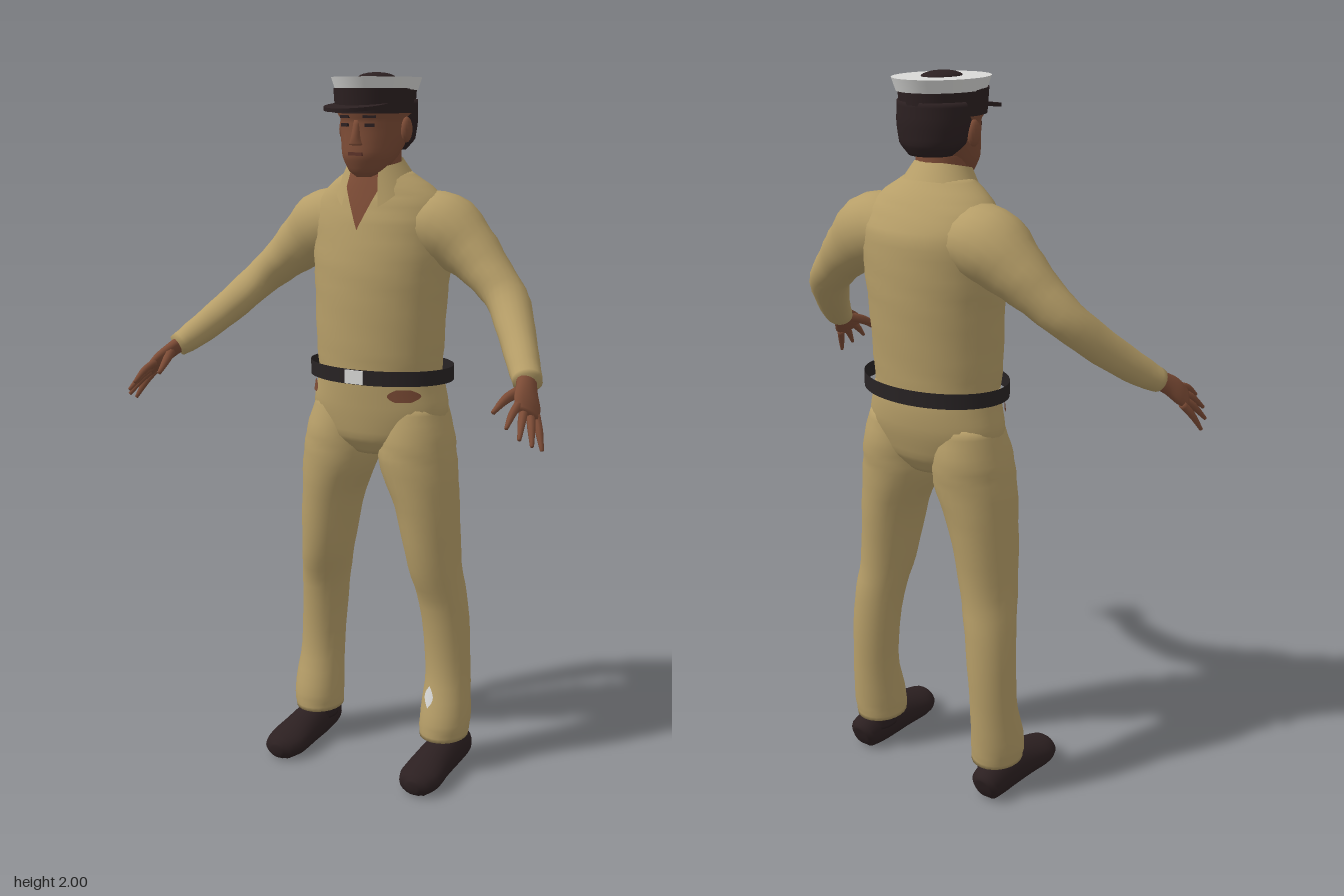
import * as THREE from 'three';

const V3 = (x, y, z) => new THREE.Vector3(x, y, z);

function gridGeometry(points, rows, cols) {
  const pos = points.flatMap(p => [p.x, p.y, p.z]), idx = [];
  for (let i = 0; i < rows - 1; i++) for (let j = 0; j < cols - 1; j++) {
    const a = i * cols + j, d = a + cols;
    idx.push(a, a + 1, d + 1, a, d + 1, d);
  }
  const g = new THREE.BufferGeometry();
  g.setAttribute('position', new THREE.Float32BufferAttribute(pos, 3));
  g.setIndex(idx);
  g.computeVertexNormals();
  return g;
}

// Smooth capped tube through rows of [x, y, z, radiusA, radiusB].
// Without ref the rings stay level (A along x, B along z); with ref, A follows ref.
function loft(rows, { s = 1, seg = 20, sub = 4, ref = null, fold = 0 } = {}) {
  const centre = new THREE.CatmullRomCurve3(rows.map(r => V3(s * r[0], r[1], r[2])));
  const radius = new THREE.CatmullRomCurve3(rows.map(r => V3(r[3], r[4], 0)));
  const n = (rows.length - 1) * sub, pos = [], idx = [];
  for (let i = 0; i <= n; i++) {
    const c = centre.getPoint(i / n), r = radius.getPoint(i / n);
    const T = ref ? centre.getTangent(i / n) : V3(0, 1, 0);
    const U = ref ? V3(s * ref[0], ref[1], ref[2]) : V3(1, 0, 0);
    U.addScaledVector(T, -U.dot(T)).normalize();
    const W = T.clone().cross(U);
    for (let j = 0; j < seg; j++) {
      const a = j / seg * Math.PI * 2, k = 1 + fold * Math.sin(3 * a + i * 1.1) * Math.sin(i * 0.8);
      const p = c.clone().addScaledVector(U, r.x * k * Math.cos(a)).addScaledVector(W, r.y * k * Math.sin(a));
      pos.push(p.x, p.y, p.z);
      const q = i * seg + j, q1 = i * seg + (j + 1) % seg;
      if (i < n) idx.push(q, q1, q1 + seg, q, q1 + seg, q + seg);
    }
  }
  const bottom = (n + 1) * seg;
  for (const t of [0, 1]) { const c = centre.getPoint(t); pos.push(c.x, c.y, c.z); }
  for (let j = 0; j < seg; j++) {
    const k = (j + 1) % seg;
    idx.push(bottom, k, j, bottom + 1, n * seg + j, n * seg + k);
  }
  const g = new THREE.BufferGeometry();
  g.setAttribute('position', new THREE.Float32BufferAttribute(pos, 3));
  g.setIndex(idx);
  g.computeVertexNormals();
  return g;
}

// Thin patch lying on the front of a level loft; half(t) is its half width.
function patchOn(rows, x0, y0, y1, half, lift = 0.008) {
  const pts = [], N = 10;
  for (let i = 0; i <= N; i++) {
    const y = y0 + (y1 - y0) * i / N;
    const k = Math.max(1, rows.findIndex(r => r[1] >= y)), A = rows[k - 1], B = rows[k];
    const [cx, , cz, rx, rz] = A.map((v, m) => v + (B[m] - v) * (y - A[1]) / (B[1] - A[1]));
    for (let j = 0; j <= N; j++) {
      const x = x0 + half(i / N) * (j / N * 2 - 1);
      pts.push(V3(x, y, cz + rz * Math.sqrt(Math.max(0, 1 - ((x - cx) / rx) ** 2)) + lift));
    }
  }
  return gridGeometry(pts, N + 1, N + 1);
}

const TORSO = [[0, 1.165, -.12, .183, .14], [0, 1.25, -.12, .19, .145], [0, 1.4, -.125, .196, .152], [0, 1.5, -.13, .205, .152],
  [0, 1.6, -.137, .21, .143], [0, 1.66, -.13, .19, .12], [0, 1.7, -.122, .15, .1], [0, 1.74, -.11, .09, .075]];
const PELVIS = [[0, .95, -.12, .08, .08], [0, 1, -.12, .18, .115], [0, 1.08, -.125, .208, .132], [0, 1.14, -.125, .196, .137], [0, 1.19, -.122, .185, .137]];
const LEG = [[.215, .1, -.13, .07, .08], [.218, .15, -.133, .074, .081], [.215, .3, -.153, .066, .068], [.2, .5, -.146, .07, .076],
  [.18, .62, -.125, .075, .09], [.155, .8, -.12, .09, .107], [.125, .93, -.12, .112, .118], [.12, 1, -.124, .106, .12], [.11, 1.1, -.128, .088, .1]];
const ARM = [[.08, 1.6, -.14, .08, .1], [.18, 1.585, -.145, .1, .105], [.265, 1.53, -.14, .08, .082], [.33, 1.475, -.125, .062, .068],
  [.395, 1.415, -.1, .052, .06], [.46, 1.335, -.025, .047, .05], [.52, 1.265, .06, .04, .042], [.55, 1.235, .105, .032, .038]];
const SHOE = [[.228, .04, -.22, .025, .03], [.228, .045, -.205, .045, .05], [.226, .05, -.13, .052, .062], [.226, .042, -.03, .058, .052],
  [.228, .034, .04, .063, .042], [.23, .03, .085, .048, .035], [.23, .028, .103, .018, .018]];

export function createModel() {
  const model = new THREE.Group();
  const mat = (name, color, side = THREE.FrontSide) => {
    const m = new THREE.MeshStandardMaterial({ color, side });
    m.name = name;
    return m;
  };
  const cloth = mat('khaki cloth', 0xb69e68, THREE.DoubleSide), skin = mat('skin', 0x7d4c36);
  const lips = mat('lips', 0x5e342a), dark = mat('dark brown', 0x2c2021), white = mat('white', 0xd9d9d7);
  const leather = mat('belt leather', 0x282324, THREE.DoubleSide);
  const add = (name, geo, material, parent = model) => {
    const m = new THREE.Mesh(geo, material);
    m.name = name;
    parent.add(m);
    return m;
  };

  // Shirt and trousers
  add('shirt', loft(TORSO, { seg: 32, fold: .012 }), cloth);
  add('trouserSeat', loft(PELVIS, { seg: 32 }), cloth);
  add('neckOpening', patchOn(TORSO, 0, 1.585, 1.735, t => .068 * t), skin);
  add('leftHipSkin', patchOn(PELVIS, .13, 1.115, 1.15, t => .04 * Math.sin(.5 + t * 2.2)), skin);
  add('rightHipSkin', patchOn(PELVIS, -.17, 1.115, 1.15, t => .02 * Math.sin(.5 + t * 2.2), .012), skin);
  add('shinTear', patchOn(LEG, .195, .2, .265, t => .016 * Math.sin(Math.PI * t)), white);

  // Folded collar, open at the front
  const collar = [], C = 32;
  for (let i = 0; i <= 2; i++) for (let j = 0; j <= C; j++) {
    const a = (j / C * 2 - 1) * 2.6, f = (1 - Math.cos(a)) / 2, t = 1 - i / 2;
    collar.push(V3((.078 + .03 * t) * Math.sin(a), 1.78 - .03 * f - t * (.045 + .075 * f ** 3),
      -.09 - (.07 + .035 * t) * Math.cos(a)));
  }
  add('collar', gridGeometry(collar, 3, C + 1), cloth);

  // Limbs, mirrored
  const spread = [.5, -.55, -.67];
  const tips = [[.57, 1.155, .28], [.6, 1.128, .268], [.622, 1.108, .24], [.632, 1.09, .2]];
  for (const s of [1, -1]) {
    const side = s > 0 ? 'left' : 'right';
    add(side + 'Sleeve', loft(ARM, { s, ref: [0, 1, 0], fold: .03 }), cloth);
    add(side + 'TrouserLeg', loft(LEG, { s, seg: 24, fold: .02 }), cloth);

    const shoe = loft(SHOE, { s, ref: [1, 0, 0] }), p = shoe.attributes.position;
    for (let i = 0; i < p.count; i++) p.setY(i, Math.max(0, p.getY(i)));
    shoe.computeVertexNormals();
    add(side + 'Shoe', shoe, dark);
    add(side + 'Ankle', loft([[.216, .06, -.14, .048, .058], [.215, .13, -.14, .045, .05]], { s }), dark);

    const hand = new THREE.Group();
    hand.name = side + 'Hand';
    model.add(hand);
    add('palm', loft([[.54, 1.245, .09, .028, .022], [.558, 1.222, .13, .034, .019], [.575, 1.195, .165, .043, .017],
      [.588, 1.172, .19, .036, .011]], { s, ref: spread, seg: 14 }), skin, hand);
    tips.forEach((tip, i) => {
      const o = [-.031, -.011, .01, .029][i];
      const base = [.58 + o * spread[0], 1.182 + o * spread[1], .175 + o * spread[2]];
      const mid = base.map((v, k) => (v + tip[k]) / 2 + (k === 1 ? .006 : 0));
      add('finger', loft([[...base, .012, .011], [...mid, .0105, .01], [...tip, .005, .005]], { s, ref: spread, seg: 8 }), skin, hand);
    });
    add('thumb', loft([[.552, 1.225, .13, .016, .014], [.528, 1.208, .185, .013, .012], [.515, 1.18, .237, .006, .006]],
      { s, ref: spread, seg: 8 }), skin, hand);
  }

  // Loose belt and buckle
  const belt = add('belt', new THREE.CylinderGeometry(1, 1, .042, 48, 1, true), leather);
  belt.scale.set(.216, 1, .159);
  belt.position.set(.005, 1.185, -.12);
  add('buckle', new THREE.BoxGeometry(.056, .038, .008), white).position.set(.005, 1.185, .039);

  // Head
  const head = new THREE.Group();
  head.name = 'head';
  model.add(head);
  add('neck', loft([[0, 1.6, -.11, .075, .075], [0, 1.7, -.1, .07, .065], [0, 1.82, -.1, .066, .062]]), skin, head);
  add('face', loft([[0, 1.725, -.035, .025, .025], [0, 1.74, -.045, .05, .05], [0, 1.78, -.06, .074, .082], [0, 1.83, -.085, .088, .105],
    [0, 1.88, -.092, .093, .111], [0, 1.93, -.092, .093, .111]], { seg: 28 }), skin, head);
  add('hair', loft([[0, 1.795, -.14, .06, .055], [0, 1.825, -.132, .09, .08], [0, 1.88, -.125, .1, .093], [0, 1.93, -.12, .1, .097]], { seg: 28 }), dark, head);
  add('nose', loft([[0, 1.81, .018, .02, .016], [0, 1.83, .016, .014, .018], [0, 1.875, .012, .009, .008]], { seg: 12 }), skin, head);
  add('mouth', new THREE.BoxGeometry(.042, .009, .008), lips, head).position.set(0, 1.787, .02);
  for (const s of [1, -1]) {
    const ear = add('ear', new THREE.SphereGeometry(1, 14, 10), skin, head);
    ear.scale.set(.014, .034, .022);
    ear.position.set(s * .096, 1.85, -.088);
    for (const [name, y, w, h] of [['eye', 1.862, .026, .009], ['eyebrow', 1.884, .036, .007]]) {
      const m = add(name, new THREE.BoxGeometry(w, h, .008), dark, head);
      m.position.set(s * .037, y, .0115);
      m.rotation.y = s * .43;
    }
  }

  // Cap: dark band, white crown, peak and top badge
  const cap = new THREE.Group();
  cap.name = 'cap';
  model.add(cap);
  const oval = (name, top, bottom, h, material, sx, sz, y, z) => {
    const m = add(name, new THREE.CylinderGeometry(top, bottom, h, 40), material, cap);
    m.scale.set(sx, 1, sz);
    m.position.set(0, y, z);
    return m;
  };
  oval('capBand', 1, .96, .065, dark, .106, .133, 1.925, -.087);
  oval('capCrown', 1, .91, .033, white, .116, .145, 1.97, -.095);
  oval('capPeak', 1, 1, .01, dark, .086, .092, 1.911, .015).rotation.x = .12;
  const top = add('capTop', new THREE.SphereGeometry(1, 28, 12), dark, cap);
  top.scale.set(.047, .015, .064);
  top.position.set(0, 1.985, -.095);
  return model;
}
